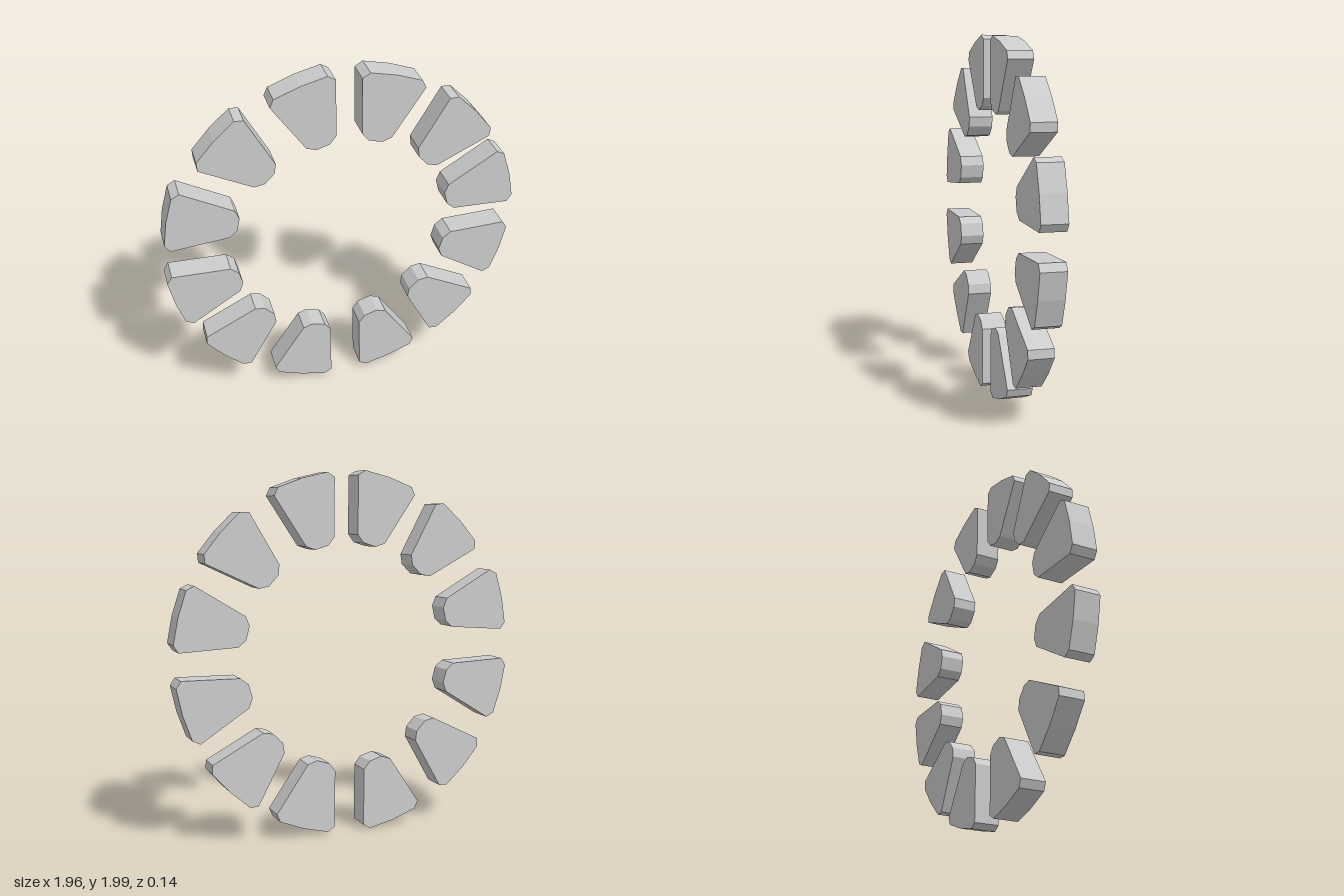
import * as THREE from 'three';

const DEPTH = 0.138;

// Right half of one wedge block, from the inner tip to the outer apex (+y points outwards)
const HALF = [[0.038, -0.337], [0.084, -0.304], [0.177, 0], [0.145, 0.036]];
const APEX = [0, 0.045];

// Each block: x, y of its widest line, and clockwise tilt from vertical in degrees
const PLACES = [
  [0.262, 1.913, 16.5], [0.688, 1.648, 47.7], [0.910, 1.235, 75.5],
  [0.897, 0.749, 106], [0.661, 0.336, 135], [0.265, 0.098, 162.1],
  [-0.249, 0.085, 196.5], [-0.680, 0.341, 226.5], [-0.910, 0.762, 255],
  [-0.907, 1.278, 282.3], [-0.640, 1.696, 314.6], [-0.214, 1.923, 342.5],
];

// Wedge with clipped corners, mirrored about its own axis
function wedgeGeometry() {
  const mirrored = HALF.map(([x, y]) => [-x, y]).reverse();
  const outline = [...HALF, APEX, ...mirrored].map(([x, y]) => new THREE.Vector2(x, y));
  const geometry = new THREE.ExtrudeGeometry(new THREE.Shape(outline), { depth: DEPTH, bevelEnabled: false });
  return geometry.translate(0, 0, -DEPTH / 2);
}

export function createModel() {
  const model = new THREE.Group();
  model.name = 'ringOfBlocks';
  const geometry = wedgeGeometry();
  const material = new THREE.MeshStandardMaterial({ color: 0xcccccc, flatShading: true });

  // Twelve loose blocks set around an open ring
  PLACES.forEach(([x, y, tilt], i) => {
    const block = new THREE.Mesh(geometry, material);
    block.name = `wedgeBlock${i + 1}`;
    block.position.set(x, y, 0);
    block.rotation.z = -THREE.MathUtils.degToRad(tilt);
    model.add(block);
  });
  return model;
}
